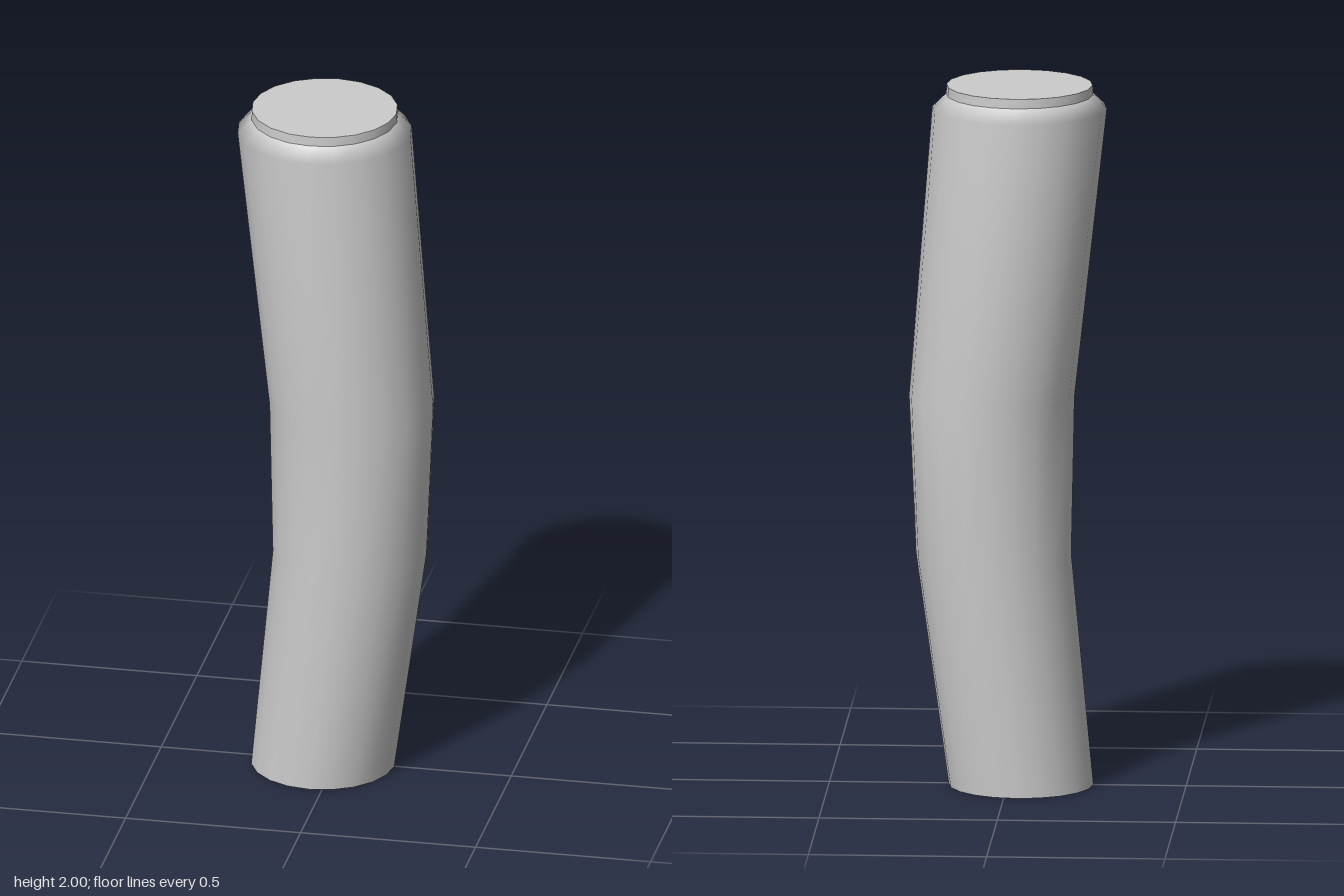
import * as THREE from 'three';

const SIDES = 20;

// Body rings from foot to shoulder: [height, centre x, radius]
const BODY = [
  [0, -0.037, 0.203],
  [0.66, 0.04, 0.218],
  [1.11, 0.045, 0.232],
  [1.935, -0.033, 0.245],
  [1.973, -0.033, 0.206],
];
const LIP = [
  [1.973, -0.033, 0.206],
  [2, -0.033, 0.205],
];

// Smooth tube whose stacked rings follow a bent centre line
function loft(rings) {
  const geo = new THREE.CylinderGeometry(1, 1, 1, SIDES, rings.length - 1, true);
  const pos = geo.attributes.position;
  for (let i = 0; i < pos.count; i++) {
    const row = Math.floor(i / (SIDES + 1));
    const [y, cx, r] = rings[rings.length - 1 - row];
    pos.setXYZ(i, cx + pos.getX(i) * r, y, pos.getZ(i) * r);
  }
  geo.computeVertexNormals();
  // Match the normals across the seam
  const n = geo.attributes.normal;
  for (let row = 0; row < rings.length; row++) {
    const a = row * (SIDES + 1), b = a + SIDES;
    const v = new THREE.Vector3().fromBufferAttribute(n, a)
      .add(new THREE.Vector3().fromBufferAttribute(n, b)).normalize();
    n.setXYZ(a, v.x, v.y, v.z);
    n.setXYZ(b, v.x, v.y, v.z);
  }
  return geo;
}

// Flat disc closing a ring, facing up or down
function cap([y, cx, r], up) {
  return new THREE.CircleGeometry(r, SIDES)
    .rotateX(up ? -Math.PI / 2 : Math.PI / 2)
    .translate(cx, y, 0);
}

export function createModel() {
  const group = new THREE.Group();
  group.name = 'bentPost';
  const material = new THREE.MeshStandardMaterial({ color: 0xcccccc });
  const add = (name, geo) => {
    const mesh = new THREE.Mesh(geo, material);
    mesh.name = name;
    group.add(mesh);
  };

  add('body', loft(BODY));
  add('topLip', loft(LIP));
  add('topCap', cap(LIP[1], true));
  add('bottomCap', cap(BODY[0], false));
  return group;
}
